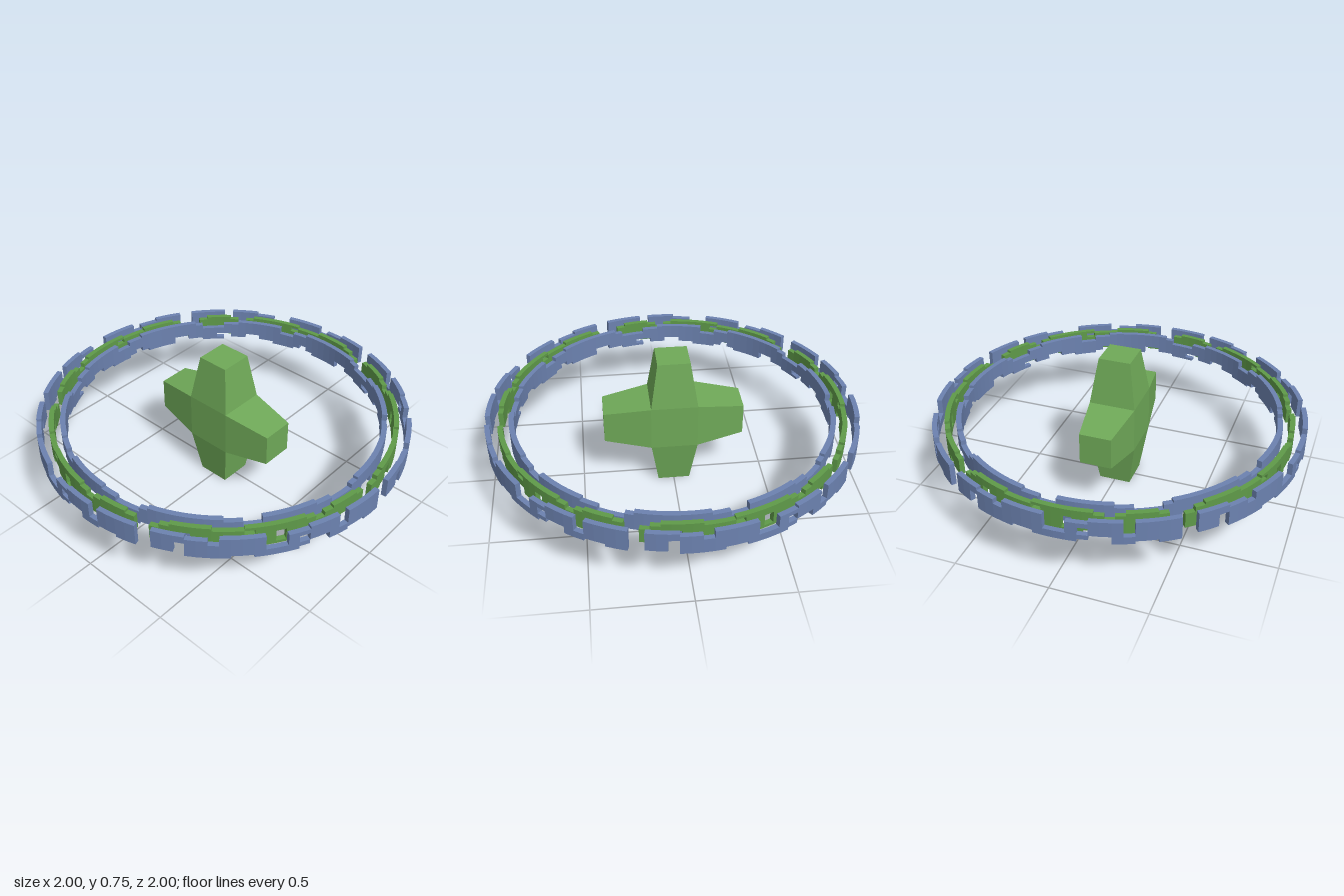
import * as THREE from 'three';

const CENTRE_Y = 0.375;
// Heights of the row borders in every ring, top to bottom
const ROWS = [0.44, 0.425, 0.4, 0.36, 0.335, 0.32];

// One 72 degree panel per ring: '#' is solid, '.' is a notch or hole
const OUTER = [
  '###...####....###.####',
  '#####.####..#####.####',
  '##.#######..#.###.####',
  '##.###########..######',
  '...####..####...##..##',
];
const MIDDLE = [
  '..####...######...###.',
  '.########.######.#####',
  '###.########.#########',
  '###.####..##.######.##',
  '##...###..####..###...',
];
const INNER = [
  '########....######......',
  '##########..########...#',
  '########################',
  '#..#####.######..##..###',
  '...####...###.......###.',
];

const material = (color) => new THREE.MeshStandardMaterial({ color, flatShading: true });

// Curved panel built from a grid of cells; only exposed faces are made
function panelGeometry(grid, rIn, rOut, start, span) {
  const cols = grid[0].length;
  const verts = [];
  const solid = (r, c) => grid[r]?.[c] === '#';
  const point = (r, c, radius) => {
    const a = THREE.MathUtils.degToRad(start + (span * c) / cols);
    return [radius * Math.sin(a), ROWS[r], radius * Math.cos(a)];
  };
  const quad = (a, b, c, d) => verts.push(...a, ...b, ...c, ...a, ...c, ...d);
  for (let r = 0; r < grid.length; r++) {
    for (let c = 0; c < cols; c++) {
      if (!solid(r, c)) continue;
      const corners = (radius) => [
        point(r + 1, c, radius), point(r + 1, c + 1, radius),
        point(r, c + 1, radius), point(r, c, radius),
      ];
      const o = corners(rOut);
      const i = corners(rIn);
      quad(o[0], o[1], o[2], o[3]);
      quad(i[1], i[0], i[3], i[2]);
      if (!solid(r - 1, c)) quad(o[3], o[2], i[2], i[3]);
      if (!solid(r + 1, c)) quad(i[0], i[1], o[1], o[0]);
      if (!solid(r, c - 1)) quad(i[0], o[0], o[3], i[3]);
      if (!solid(r, c + 1)) quad(o[1], i[1], i[2], o[2]);
    }
  }
  const geometry = new THREE.BufferGeometry();
  geometry.setAttribute('position', new THREE.Float32BufferAttribute(verts, 3));
  geometry.computeVertexNormals();
  return geometry;
}

// Five equal panels around the circle
function makeRing(name, grid, rIn, rOut, start, span, mat) {
  const ring = new THREE.Group();
  ring.name = name;
  const geometry = panelGeometry(grid, rIn, rOut, start, span);
  for (let k = 0; k < 5; k++) {
    const panel = new THREE.Mesh(geometry, mat);
    panel.name = `${name}Panel${k + 1}`;
    panel.rotation.y = (k * Math.PI * 2) / 5;
    ring.add(panel);
  }
  return ring;
}

// Square arm that narrows toward its tip
function armGeometry() {
  const geometry = new THREE.BoxGeometry(0.25, 0.25, 0.25);
  const p = geometry.attributes.position;
  for (let i = 0; i < p.count; i++) {
    const s = p.getY(i) > 0 ? 0.69 : 1;
    p.setXYZ(i, p.getX(i) * s, p.getY(i) + 0.25, p.getZ(i) * s);
  }
  geometry.computeVertexNormals();
  return geometry;
}

export function createModel() {
  const model = new THREE.Group();
  model.name = 'ringedCross';
  const green = material(0x6fa958);
  const darkGreen = material(0x5f9a49);
  const blue = material(0x6c82b0);

  // Four-armed cross in the upright plane facing sideways
  const cross = new THREE.Group();
  cross.name = 'cross';
  cross.position.y = CENTRE_Y;
  const hub = new THREE.Mesh(new THREE.BoxGeometry(0.25, 0.25, 0.25), green);
  hub.name = 'hub';
  cross.add(hub);
  const arm = armGeometry();
  ['topArm', 'frontArm', 'bottomArm', 'backArm'].forEach((name, k) => {
    const mesh = new THREE.Mesh(arm, green);
    mesh.name = name;
    mesh.rotation.x = (k * Math.PI) / 2;
    cross.add(mesh);
  });
  model.add(cross);

  // Three nested rings of notched panels
  model.add(
    makeRing('outerRing', OUTER, 0.973, 1, 4.5, 67.5, blue),
    makeRing('middleRing', MIDDLE, 0.908, 0.935, 2.3, 67.4, darkGreen),
    makeRing('innerRing', INNER, 0.847, 0.875, 0, 72, blue),
  );
  return model;
}
